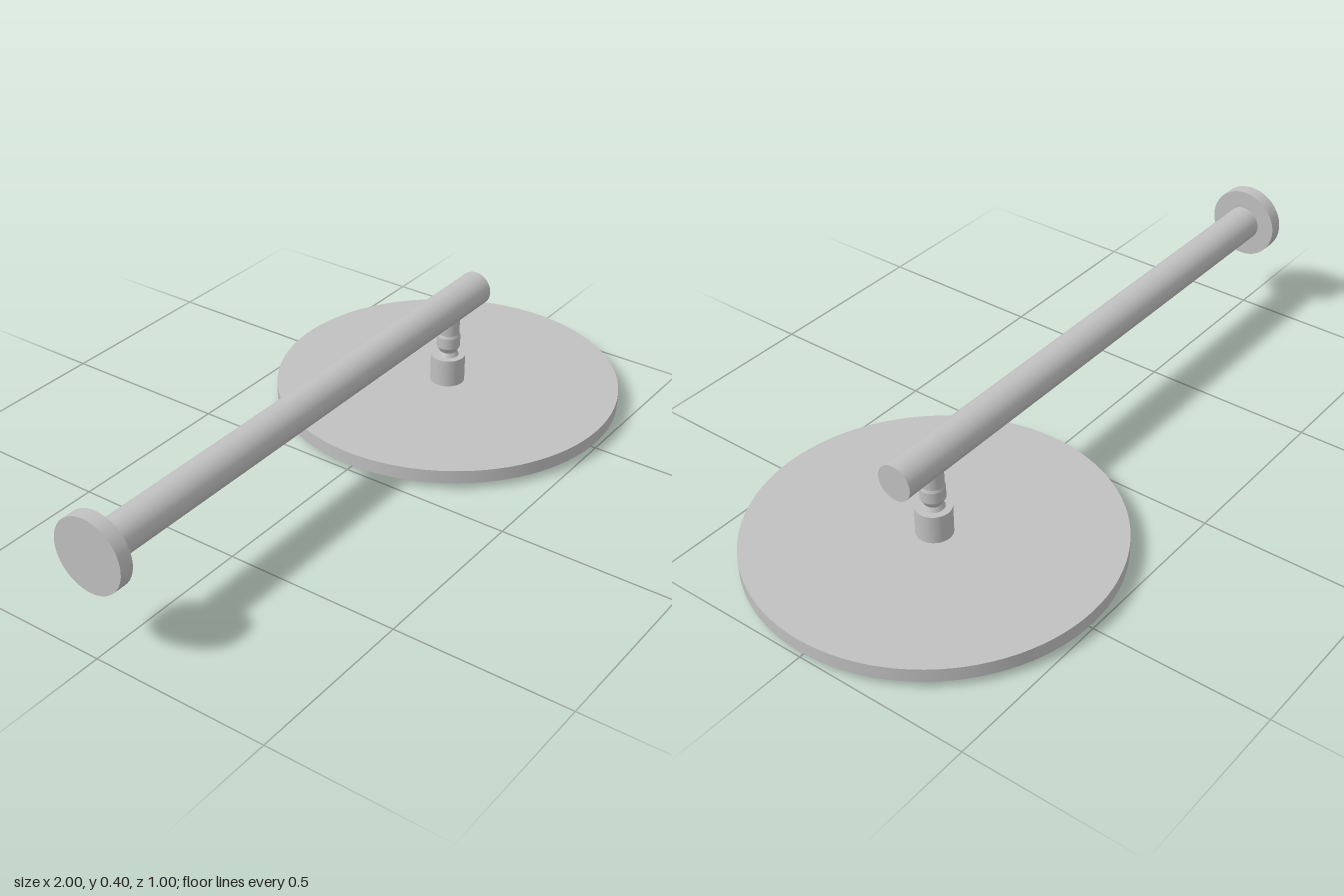
import * as THREE from 'three';

export function createModel() {
  const group = new THREE.Group();
  const metal = new THREE.MeshStandardMaterial({ color: 0xc0c0c0 });
  metal.name = 'brushedMetal';

  const headX = 0.5, armY = 0.297;

  function add(name, geometry, x, y, parent = group) {
    const mesh = new THREE.Mesh(geometry, metal);
    mesh.name = name;
    mesh.position.set(x, y, 0);
    parent.add(mesh);
    return mesh;
  }

  // Upright section between two heights on the head axis
  function section(name, rTop, rBottom, y0, y1, sides = 48) {
    return add(name, new THREE.CylinderGeometry(rTop, rBottom, y1 - y0, sides), headX, (y0 + y1) / 2);
  }

  // Horizontal round bar between two x positions
  function bar(name, r, x0, x1) {
    const geometry = new THREE.CylinderGeometry(r, r, x1 - x0, 48).rotateZ(-Math.PI / 2);
    return add(name, geometry, (x0 + x1) / 2, armY);
  }

  // Wall flange and arm
  bar('wallFlange', 0.103, -1, -0.96);
  bar('arm', 0.051, -0.965, 0.638);

  // Shower head and its swivel joint
  section('headDisc', 0.5, 0.5, 0.018, 0.057, 96);
  section('jointCollar', 0.05, 0.05, 0.055, 0.14);
  section('jointNeckLower', 0.025, 0.032, 0.138, 0.153);
  section('jointNeckUpper', 0.034, 0.025, 0.153, 0.17);
  section('jointBarrel', 0.034, 0.034, 0.17, 0.203);
  section('jointShoulder', 0.031, 0.034, 0.203, 0.211);
  section('jointStem', 0.031, 0.031, 0.209, 0.27);

  // Concentric rings of tapered nozzles: [ring radius, count]
  const rings = [[0.41, 30], [0.33, 30], [0.26, 30], [0.21, 30], [0.16, 24], [0.11, 18], [0.06, 12], [0.02, 4]];
  const nozzles = new THREE.Group();
  nozzles.name = 'nozzles';
  nozzles.position.x = headX;
  group.add(nozzles);
  const nozzleGeometry = new THREE.CylinderGeometry(0.012, 0.004, 0.019, 12);
  for (const [radius, count] of rings) {
    for (let i = 0; i < count; i++) {
      const a = (i / count) * Math.PI * 2;
      const nozzle = add('nozzle', nozzleGeometry, Math.sin(a) * radius, 0.0095, nozzles);
      nozzle.position.z = Math.cos(a) * radius;
    }
  }

  return group;
}
